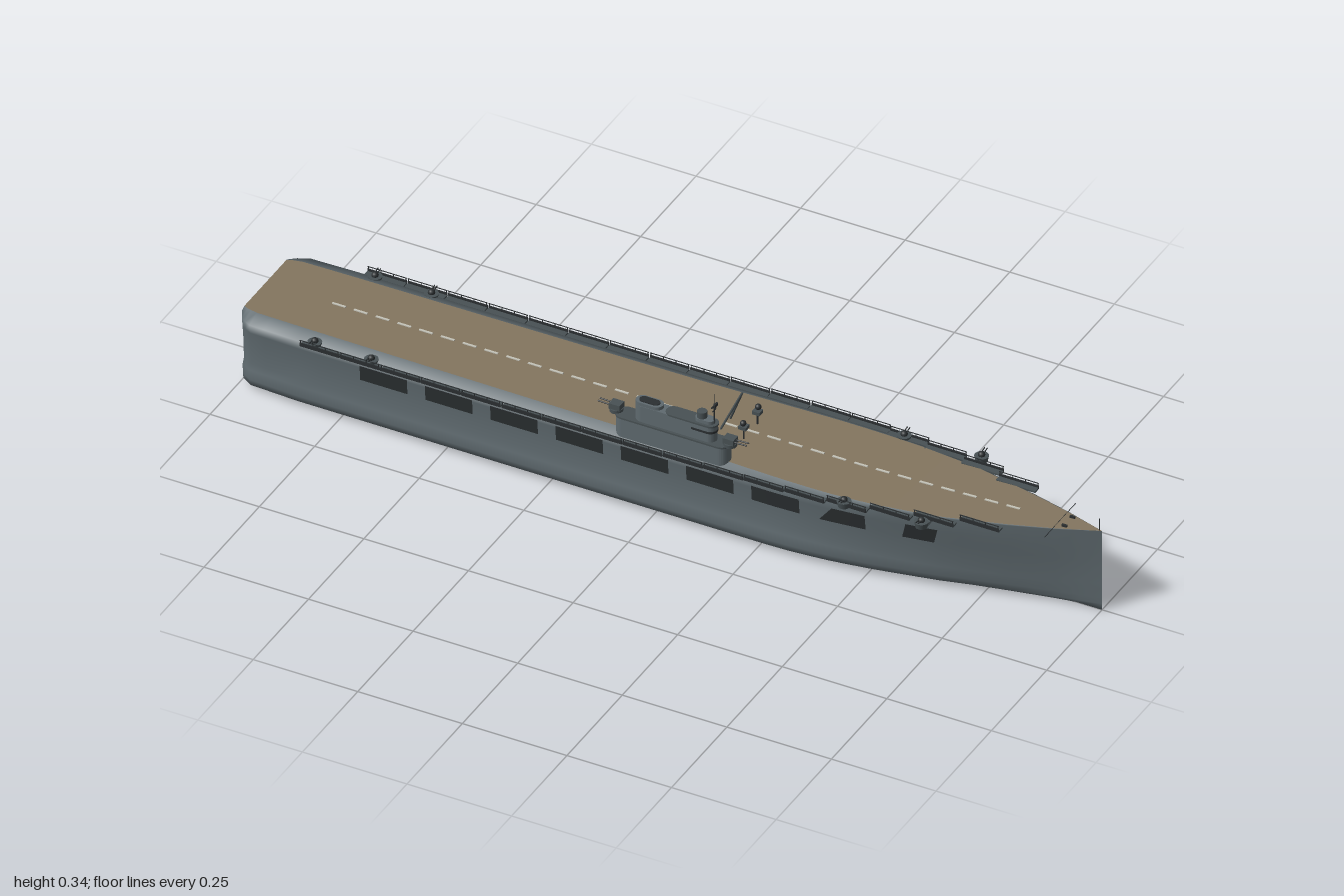
import * as THREE from 'three';

const mat = (name, color, side = THREE.FrontSide) => {
  const m = new THREE.MeshStandardMaterial({ color, side });
  m.name = name;
  return m;
};

// half-breadths along the ship: [x, deck edge above, hull top, hull bottom]
const PLAN = [
  [-1, 0.095, 0.105, 0.09], [-0.99, 0.1, 0.125, 0.12], [-0.965, 0.105, 0.138, 0.136],
  [-0.85, 0.107, 0.141, 0.142], [0, 0.115, 0.141, 0.142], [0.3, 0.124, 0.141, 0.142],
  [0.4, 0.124, 0.138, 0.134], [0.5, 0.119, 0.128, 0.118], [0.65, 0.1, 0.104, 0.086],
  [0.8, 0.063, 0.066, 0.045], [0.9, 0.034, 0.036, 0.02], [1, 0, 0, 0],
];
// hull fullness by height
const FULLNESS = [[0.015, 0.98], [0.03, 1], [0.055, 1], [0.068, 0.95], [0.12, 0.96], [0.165, 0.99], [0.21, 1]];

function lookup(table, v, k) {
  let i = 0;
  while (i < table.length - 2 && table[i + 1][0] < v) i++;
  const a = table[i], b = table[i + 1];
  const t = THREE.MathUtils.clamp((v - a[0]) / (b[0] - a[0]), 0, 1);
  return a[k] + (b[k] - a[k]) * t;
}
const deckHalf = (x) => lookup(PLAN, x, 1);
const topHalf = (x) => lookup(PLAN, x, 2);
const hullHalf = (x, y) =>
  lookup(FULLNESS, y, 1) * THREE.MathUtils.lerp(lookup(PLAN, x, 3), topHalf(x), Math.min(1, y / 0.17));
const deckY = (x) => 0.184 + 0.02 * Math.pow(Math.max(0, (x - 0.4) / 0.6), 1.4);
const edgeY = (x) => deckY(x) - Math.min(0.012, 0.45 * (topHalf(x) - deckHalf(x)));

// skin over rows of [x, y, z] points
function loft(rows) {
  const n = rows[0].length, index = [];
  for (let i = 0; i < rows.length - 1; i++)
    for (let j = 0; j < n - 1; j++) {
      const a = i * n + j, b = a + 1, c = a + n, d = c + 1;
      index.push(a, b, c, b, d, c);
    }
  const g = new THREE.BufferGeometry();
  g.setAttribute('position', new THREE.Float32BufferAttribute(rows.flat(2), 3));
  g.setIndex(index);
  g.computeVertexNormals();
  return g;
}

// hull cross-section, from the +z deck edge under the keel to the other edge
function section(x) {
  const side = [[deckHalf(x), deckY(x)], [topHalf(x), edgeY(x)]];
  for (const y of [0.15, 0.12, 0.068, 0.055, 0.03, 0.015]) side.push([hullHalf(x, y), y]);
  side.push([hullHalf(x, 0.015) * 0.85, 0.008]);
  const far = side.slice().reverse().map(([z, y]) => [-z, y]);
  return [...side, [0, 0], ...far].map(([z, y]) => [x, y, z]);
}

export function createModel() {
  const hullGrey = mat('hull grey', 0x5f6a6f);
  const deckTan = mat('deck tan', 0x83755f);
  const dark = mat('dark grey', 0x2b2f31, THREE.DoubleSide);
  const gunGrey = mat('gun grey', 0x485154);
  const lineWhite = mat('line white', 0xc4c3b8);

  const ship = new THREE.Group();
  ship.name = 'carrierShip';
  const add = (name, geo, material, x = 0, y = 0, z = 0, parent = ship) => {
    const m = new THREE.Mesh(geo, material);
    m.name = name;
    m.position.set(x, y, z);
    parent.add(m);
    return m;
  };
  const box = (name, w, h, d, material, x, y, z, parent) =>
    add(name, new THREE.BoxGeometry(w, h, d), material, x, y, z, parent);
  const rod = (name, a, b, r, material = dark) => {
    const p = new THREE.Vector3(...a), q = new THREE.Vector3(...b);
    const m = add(name, new THREE.CylinderGeometry(r, r, p.distanceTo(q), 8), material);
    m.position.copy(p).lerp(q, 0.5);
    m.quaternion.setFromUnitVectors(new THREE.Vector3(0, 1, 0), q.sub(p).normalize());
    return m;
  };

  // hull, stern plate and flight deck
  const xs = [-1, -0.995, -0.99, -0.98, -0.965, -0.93];
  for (let i = 0; i <= 38; i++) xs.push(-0.85 + i * 1.85 / 38);
  add('hull', loft(xs.map(section)), hullGrey);
  const stern = new THREE.Shape(section(-1).map(([, y, z]) => new THREE.Vector2(z, y)));
  add('sternPlate', new THREE.ShapeGeometry(stern).rotateY(-Math.PI / 2), hullGrey, -1);
  add('flightDeck', loft(xs.map((x) => [-1, 0, 1].map((s) => [x, deckY(x), s * deckHalf(x)]))), deckTan);

  // dashed centre line
  for (let x = -0.84; x < 0.8; x += 0.052) {
    const line = box('centreDash', 0.032, 0.002, 0.005, lineWhite, x + 0.016, deckY(x + 0.016) + 0.001, 0);
    line.rotation.z = Math.atan2(deckY(x + 0.032) - deckY(x), 0.032);
  }

  // hangar openings: [bottom left, bottom right, top left, top right]
  const openings = [];
  for (let i = 0; i < 7; i++) openings.push([-0.7 + i * 0.156, -0.587 + i * 0.156, -0.7 + i * 0.156, -0.587 + i * 0.156]);
  openings.push([0.395, 0.5, 0.425, 0.5], [0.58, 0.65, 0.59, 0.66]);
  for (const s of [1, -1]) {
    for (const [b0, b1, t0, t1] of openings) {
      const rows = [0, 0.25, 0.5, 0.75, 1].map((u) => {
        const col = [0.157, 0.138, 0.119].map((y) => {
          const t = (y - 0.119) / 0.038;
          const x = THREE.MathUtils.lerp(b0 + (b1 - b0) * u, t0 + (t1 - t0) * u, t);
          return [x, y, s * (hullHalf(x, y) + 0.003)];
        });
        return s > 0 ? col : col.reverse();
      });
      add('hangarOpening', loft(rows), dark);
    }

    // stepped edge catwalks with rails
    for (let i = 0; i < 17; i++) {
      const x = -0.79 + i * 0.0965, z = s * (topHalf(x) + 0.004), y = edgeY(x);
      box('catwalk', 0.094, 0.004, 0.016, gunGrey, x, y, z);
      box('catwalkSide', 0.094, 0.009, 0.002, dark, x, y + 0.003, z + s * 0.008);
      box('catwalkRail', 0.094, 0.0015, 0.0015, dark, x, y + 0.013, z + s * 0.008);
      for (const d of [-0.045, -0.015, 0.015, 0.045])
        box('railPost', 0.0015, 0.014, 0.0015, dark, x + d, y + 0.006, z + s * 0.008);
    }

    // edge gun tubs
    for (const x of [-0.81, -0.675, 0.455, 0.64]) {
      const z = s * 0.136, y = edgeY(x);
      add('gunTub', new THREE.CylinderGeometry(0.016, 0.013, 0.014, 16), gunGrey, x, y + 0.001, z);
      if (x > 0.5) box('gunSupport', 0.02, 0.008, 0.04, hullGrey, x, y - 0.005, s * 0.113);
      add('gunMount', new THREE.SphereGeometry(0.008, 12, 8), dark, x, y + 0.01, z);
      for (const d of [-0.003, 0.003]) rod('gunBarrel', [x + d, y + 0.011, z], [x + d, y + 0.015, z + s * 0.02], 0.0013);
    }

    // deck director pair and forward frame
    add('directorBall', new THREE.SphereGeometry(0.007, 14, 10), dark, 0.16, 0.226, s * 0.034);
    box('directorBase', 0.018, 0.008, 0.017, gunGrey, 0.16, 0.215, s * 0.031);
    rod('directorPost', [0.16, 0.184, s * 0.031], [0.16, 0.213, s * 0.031], 0.002);
    rod('frameLeg', [0.1, 0.184, s * 0.022], [0.14, 0.277, 0], 0.0025, gunGrey);
  }

  // island superstructure: rounded blocks stacked on the +z side
  const IZ = 0.115;
  const block = (name, x0, x1, w, y0, y1, material = hullGrey) => {
    const r = w / 2, s = new THREE.Shape();
    s.absarc(x1 - r, 0, r, -Math.PI / 2, Math.PI / 2);
    s.absarc(x0 + r, 0, r, Math.PI / 2, Math.PI * 1.5);
    const g = new THREE.ExtrudeGeometry(s, { depth: y1 - y0, bevelEnabled: false, curveSegments: 8 });
    return add(name, g.rotateX(-Math.PI / 2), material, 0, y0, IZ);
  };
  block('islandBase', -0.098, 0.172, 0.04, 0.172, 0.222);
  block('islandLedge', -0.1, 0.174, 0.044, 0.222, 0.226, gunGrey);
  block('islandUpper', -0.05, 0.14, 0.032, 0.226, 0.266);
  block('bridgeLedge', 0.02, 0.143, 0.035, 0.264, 0.268, gunGrey);
  block('bridgeWindows', 0.075, 0.1415, 0.034, 0.248, 0.253, dark);
  block('funnel', -0.052, 0.012, 0.03, 0.226, 0.274);
  block('funnelMouth', -0.044, 0.004, 0.02, 0.272, 0.276, dark);
  block('mastHouse', 0.09, 0.135, 0.024, 0.268, 0.276);
  add('director', new THREE.CylinderGeometry(0.011, 0.011, 0.016, 16), gunGrey, 0.105, 0.283, IZ);

  // mast with yards
  rod('mast', [0.134, 0.268, IZ], [0.134, 0.318, IZ], 0.002);
  rod('mastTip', [0.134, 0.318, IZ], [0.134, 0.343, IZ], 0.0008);
  rod('yard', [0.134, 0.314, IZ - 0.012], [0.134, 0.314, IZ + 0.012], 0.002);
  rod('lowerYard', [0.134, 0.302, IZ - 0.008], [0.134, 0.302, IZ + 0.008], 0.001);
  box('radarPlate', 0.004, 0.007, 0.014, dark, 0.137, 0.315, IZ);

  // twin guns on the island ends
  for (const [x, s] of [[-0.1, -1], [0.172, 1]]) {
    add('islandGunBase', new THREE.CylinderGeometry(0.015, 0.015, 0.008, 16), gunGrey, x, 0.228, IZ);
    box('islandGunHouse', 0.026, 0.014, 0.022, gunGrey, x, 0.238, IZ);
    for (const d of [-0.005, 0.005]) rod('islandGunBarrel', [x, 0.238, IZ + d], [x + s * 0.042, 0.239, IZ + d], 0.0017);
  }

  // bow staff and spar
  rod('bowStaff', [0.994, 0.2, 0], [0.994, 0.234, 0], 0.0012);
  rod('bowSpar', [0.9, 0.199, -0.07], [0.9, 0.199, 0.07], 0.0008);
  for (const s of [1, -1]) box('bowChock', 0.012, 0.006, 0.005, dark, 0.92, deckY(0.92) + 0.002, s * 0.018);

  return ship;
}
